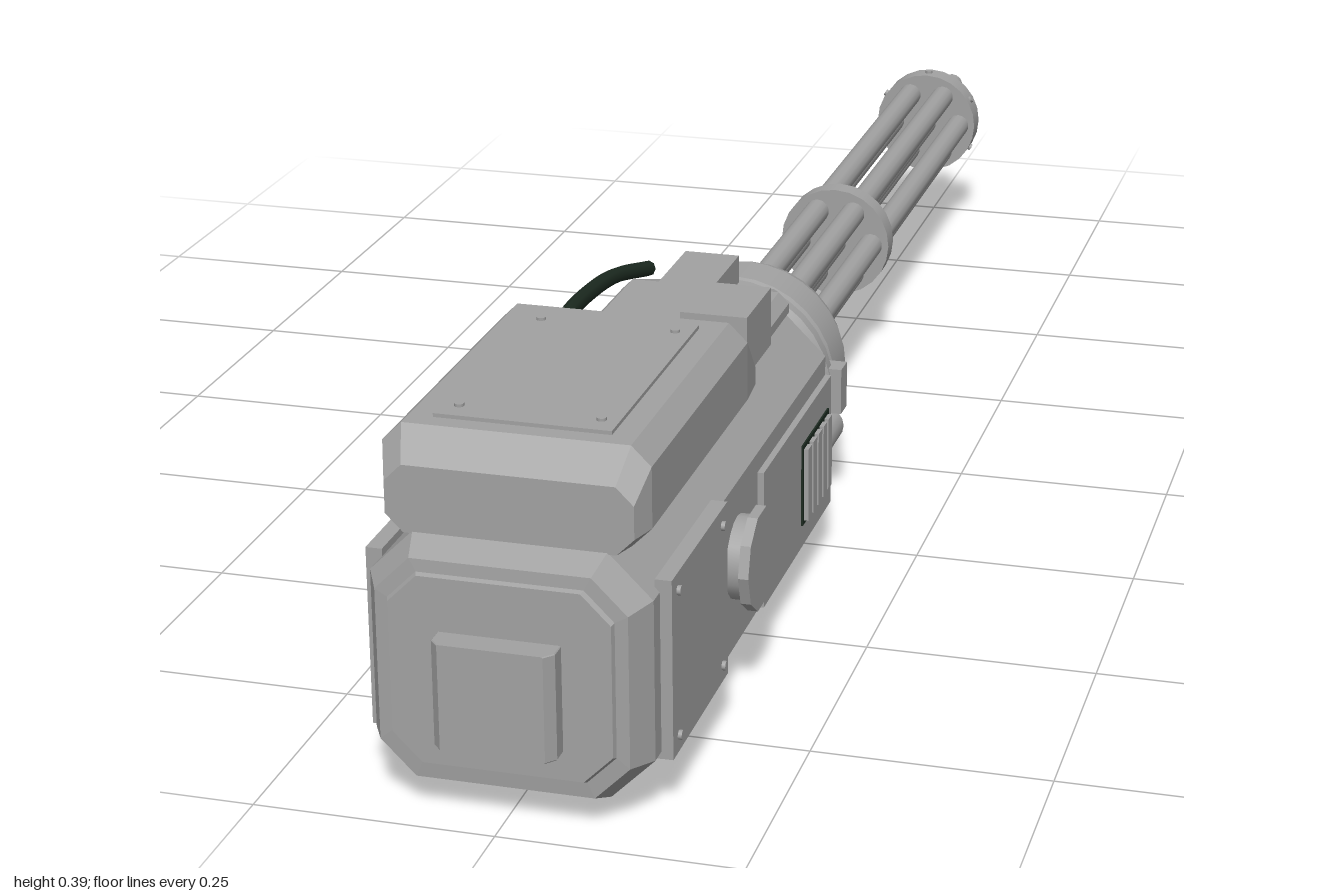
import * as THREE from 'three';

const grey = new THREE.MeshStandardMaterial({ color: 0xa2a2a2, flatShading: true });
grey.name = 'gunmetal grey';
const smoothGrey = grey.clone();
smoothGrey.flatShading = false;
const dark = new THREE.MeshStandardMaterial({ color: 0x1c2a20 });
dark.name = 'dark rubber';

const AXIS_Y = 0.152;

// Loft of chamfered rectangles; sections [z, halfWidth, yMin, yMax, chamfer] in rising z
function loft(sections) {
  const rings = sections.map(([z, w, a, b, c]) => [
    [w - c, a], [w, a + c], [w, b - c], [w - c, b],
    [c - w, b], [-w, b - c], [-w, a + c], [c - w, a],
  ].map(([x, y]) => [x, y, z]));
  const pos = [];
  const tri = (...p) => p.forEach((v) => pos.push(...v));
  for (let s = 0; s < rings.length - 1; s++) {
    const A = rings[s], B = rings[s + 1];
    for (let i = 0; i < 8; i++) {
      const j = (i + 1) % 8;
      tri(A[i], A[j], B[j]);
      tri(A[i], B[j], B[i]);
    }
  }
  const first = rings[0], last = rings[rings.length - 1];
  for (let i = 1; i < 7; i++) {
    tri(first[0], first[i + 1], first[i]);
    tri(last[0], last[i], last[i + 1]);
  }
  const g = new THREE.BufferGeometry();
  g.setAttribute('position', new THREE.Float32BufferAttribute(pos, 3));
  g.computeVertexNormals();
  return g;
}

export function createModel() {
  const model = new THREE.Group();
  model.name = 'rotaryCannon';

  const add = (name, geo, mat = grey, x = 0, y = 0, z = 0) => {
    const m = new THREE.Mesh(geo, mat);
    m.name = name;
    m.position.set(x, y, z);
    model.add(m);
    return m;
  };
  // Box given by its limits on each axis
  const box = (name, x0, x1, y0, y1, z0, z1, mat = grey) =>
    add(name, new THREE.BoxGeometry(x1 - x0, y1 - y0, z1 - z0), mat,
      (x0 + x1) / 2, (y0 + y1) / 2, (z0 + z1) / 2);
  // Cylinder along z between two depths
  const rod = (name, r, z0, z1, x = 0, y = AXIS_Y, seg = 24, mat = smoothGrey) =>
    add(name, new THREE.CylinderGeometry(r, r, z1 - z0, seg).rotateX(Math.PI / 2), mat, x, y, (z0 + z1) / 2);

  // Main housing with tapered nose and bevelled tail
  add('housing', loft([
    [0.17, 0.1, 0.052, 0.235, 0.035],
    [0.26, 0.143, 0.023, 0.282, 0.045],
    [0.935, 0.143, 0.023, 0.282, 0.045],
    [0.966, 0.127, 0.036, 0.268, 0.036],
    [0.967, 0.114, 0.053, 0.255, 0.03],
    [0.972, 0.112, 0.055, 0.253, 0.03],
  ]));
  add('tailBlock', loft([
    [0.97, 0.062, 0.085, 0.197, 0.001],
    [0.99, 0.062, 0.085, 0.197, 0.001],
    [1.0, 0.053, 0.085, 0.197, 0.001],
  ]));
  add('bottomPlate', loft([
    [0.315, 0.1, 0, 0.025, 0.002],
    [0.33, 0.113, 0, 0.025, 0.002],
    [0.805, 0.113, 0, 0.025, 0.002],
  ]));

  // Rear hump with bolted cover
  add('ammoHump', loft([
    [0.515, 0.13, 0.28, 0.335, 0.018],
    [0.565, 0.135, 0.28, 0.383, 0.02],
    [0.91, 0.135, 0.28, 0.383, 0.02],
    [0.936, 0.125, 0.28, 0.35, 0.018],
  ]));
  box('humpCover', -0.09, 0.09, 0.381, 0.387, 0.59, 0.89);
  for (const x of [-0.072, 0.072]) for (const z of [0.615, 0.865])
    add('coverBolt', new THREE.CylinderGeometry(0.005, 0.005, 0.006, 10), smoothGrey, x, 0.387, z);

  // Forward top deck, rail and sensor box
  add('topDeck', loft([
    [0.2, 0.075, 0.255, 0.29, 0.008],
    [0.25, 0.098, 0.27, 0.305, 0.012],
    [0.53, 0.1, 0.27, 0.305, 0.012],
  ]));
  box('topRail', -0.033, 0.03, 0.3, 0.332, 0.215, 0.48);
  box('sensorBox', 0.036, 0.11, 0.29, 0.356, 0.375, 0.475);

  // Cable running from hump to nose
  const cable = new THREE.CatmullRomCurve3([
    [-0.09, 0.325, 0.53], [-0.096, 0.333, 0.47], [-0.103, 0.325, 0.36],
    [-0.1, 0.315, 0.27], [-0.085, 0.298, 0.19],
  ].map((p) => new THREE.Vector3(...p)));
  add('cable', new THREE.TubeGeometry(cable, 24, 0.009, 8), dark);

  // Side panels, round caps, vents and collar lugs
  for (const s of [-1, 1]) {
    const side = (name, x0, x1, y0, y1, z0, z1, mat) =>
      box(name, Math.min(s * x0, s * x1), Math.max(s * x0, s * x1), y0, y1, z0, z1, mat);
    side('rearSidePanel', 0.138, 0.155, 0.06, 0.25, 0.717, 0.915);
    side('frontSidePanel', 0.138, 0.15, 0.06, 0.215, 0.26, 0.556);
    for (const y of [0.078, 0.232]) for (const z of [0.737, 0.895])
      add('panelBolt', new THREE.CylinderGeometry(0.005, 0.005, 0.006, 10).rotateZ(Math.PI / 2),
        smoothGrey, s * 0.156, y, z);

    add('roundCapBase', new THREE.CylinderGeometry(0.045, 0.045, 0.02, 20).rotateZ(Math.PI / 2),
      smoothGrey, s * 0.15, 0.154, 0.636);
    add('roundCap', new THREE.CylinderGeometry(0.055, 0.055, 0.011, 10).rotateZ(Math.PI / 2),
      grey, s * 0.164, 0.154, 0.636);

    side('ventRecess', 0.148, 0.152, 0.087, 0.182, 0.278, 0.396, dark);
    for (let i = 0; i < 5; i++) {
      const z = 0.283 + i * 0.023;
      side('ventSlat', 0.15, 0.157, 0.092, 0.177, z, z + 0.016);
    }
    rod('collarLug', 0.022, 0.03, 0.15, s * 0.088, 0.06, 16);
    side('collarEar', 0.09, 0.136, 0.125, 0.18, 0.125, 0.153);
  }

  // Rotor drum, open at the nose
  const drumProfile = [[0.1, 0.18], [0.115, 0.165], [0.124, 0.155], [0.124, 0.14], [0.117, 0.138],
    [0.117, 0.128], [0.12, 0.12], [0.12, 0.065], [0.113, 0.045], [0.096, 0.04], [0.096, 0.022], [0.08, 0.018],
    [0.08, 0.035], [0.0, 0.035]];
  for (let i = 0; i < drumProfile.length - 1; i++) {
    // one band per profile edge keeps the steps crisp
    const pts = [drumProfile[i + 1], drumProfile[i]].map(([r, z]) => new THREE.Vector2(r, z));
    const band = add('drumBand', new THREE.LatheGeometry(pts, 32).rotateX(Math.PI / 2), smoothGrey, 0, AXIS_Y, 0);
    band.material = drumMaterial;
  }
  add('drumSeal', new THREE.RingGeometry(0.06, 0.08, 32).rotateY(Math.PI), dark, 0, AXIS_Y, 0.024);
  rod('barrelCollar', 0.066, -0.018, 0.05);

  // Barrel cluster with clamps and bores
  for (let i = 0; i < 6; i++) {
    const a = (i * Math.PI) / 3;
    const x = 0.048 * Math.cos(a), y = AXIS_Y + 0.048 * Math.sin(a);
    rod('barrel', 0.0155, -1, 0, x, y, 14);
    add('barrelBore', new THREE.CircleGeometry(0.011, 14).rotateY(Math.PI), dark, x, y, -1.0005);
    const b = a + Math.PI / 6;
    const bolt = add('clampBolt', new THREE.CylinderGeometry(0.005, 0.005, 0.006, 8), smoothGrey,
      0.072 * Math.cos(b), AXIS_Y + 0.072 * Math.sin(b), -0.948);
    bolt.rotation.z = b - Math.PI / 2;
  }
  rod('centreRod', 0.015, -0.97, 0, 0, AXIS_Y, 14);
  add('centreBore', new THREE.CircleGeometry(0.013, 14).rotateY(Math.PI), dark, 0, AXIS_Y, -0.9705);
  rod('middleClamp', 0.072, -0.4, -0.372);
  rod('muzzleClamp', 0.072, -0.965, -0.932);

  return model;
}

const drumMaterial = smoothGrey.clone();
drumMaterial.side = THREE.DoubleSide;
